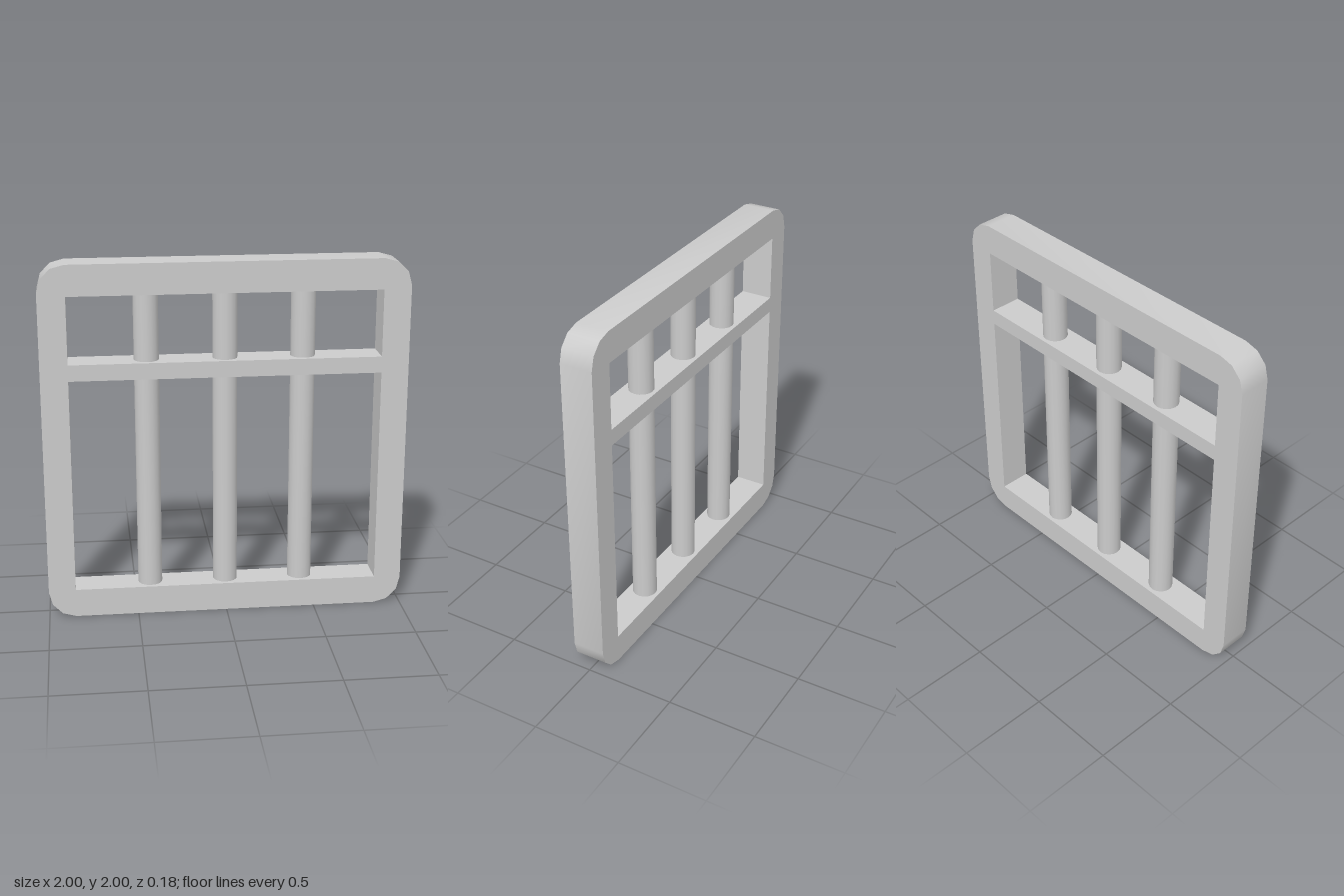
import * as THREE from 'three';
import { toCreasedNormals } from 'three/addons/utils/BufferGeometryUtils.js';

const DEPTH = 0.18;
const CORNER = 0.15;

// Rectangular opening in the frame
function opening(halfWidth, bottom, top) {
  return new THREE.Path([
    new THREE.Vector2(-halfWidth, bottom),
    new THREE.Vector2(-halfWidth, top),
    new THREE.Vector2(halfWidth, top),
    new THREE.Vector2(halfWidth, bottom),
  ]);
}

// Square outline with each corner rounded in three steps
function roundedOutline() {
  const points = [];
  const centre = 1 - CORNER;
  const corners = [[centre, centre], [-centre, centre], [-centre, -centre], [centre, -centre]];
  corners.forEach(([x, y], c) => {
    for (let i = 0; i <= 3; i++) {
      const a = (c + i / 3) * Math.PI / 2;
      points.push(new THREE.Vector2(x + CORNER * Math.cos(a), 1 + y + CORNER * Math.sin(a)));
    }
  });
  return new THREE.Shape(points);
}

export function createModel() {
  const group = new THREE.Group();
  group.name = 'barredWindow';
  const material = new THREE.MeshStandardMaterial({ color: 0xcccccc });

  // Frame with its crossbar left between two openings
  const outline = roundedOutline();
  outline.holes.push(opening(0.85, 0.16, 1.37), opening(0.85, 1.46, 1.83));
  const frameGeometry = new THREE.ExtrudeGeometry(outline, { depth: DEPTH, bevelEnabled: false });
  frameGeometry.translate(0, 0, -DEPTH / 2);
  const frame = new THREE.Mesh(toCreasedNormals(frameGeometry, 0.7), material);
  frame.name = 'frame';
  group.add(frame);

  // Three upright round bars, their ends set into the frame
  const bottom = 0.14, top = 1.85;
  const barGeometry = new THREE.CylinderGeometry(0.068, 0.068, top - bottom, 16);
  ['rightBar', 'middleBar', 'leftBar'].forEach((name, i) => {
    const bar = new THREE.Mesh(barGeometry, material);
    bar.name = name;
    bar.position.set((i - 1) * 0.427, (bottom + top) / 2, 0);
    group.add(bar);
  });

  return group;
}
